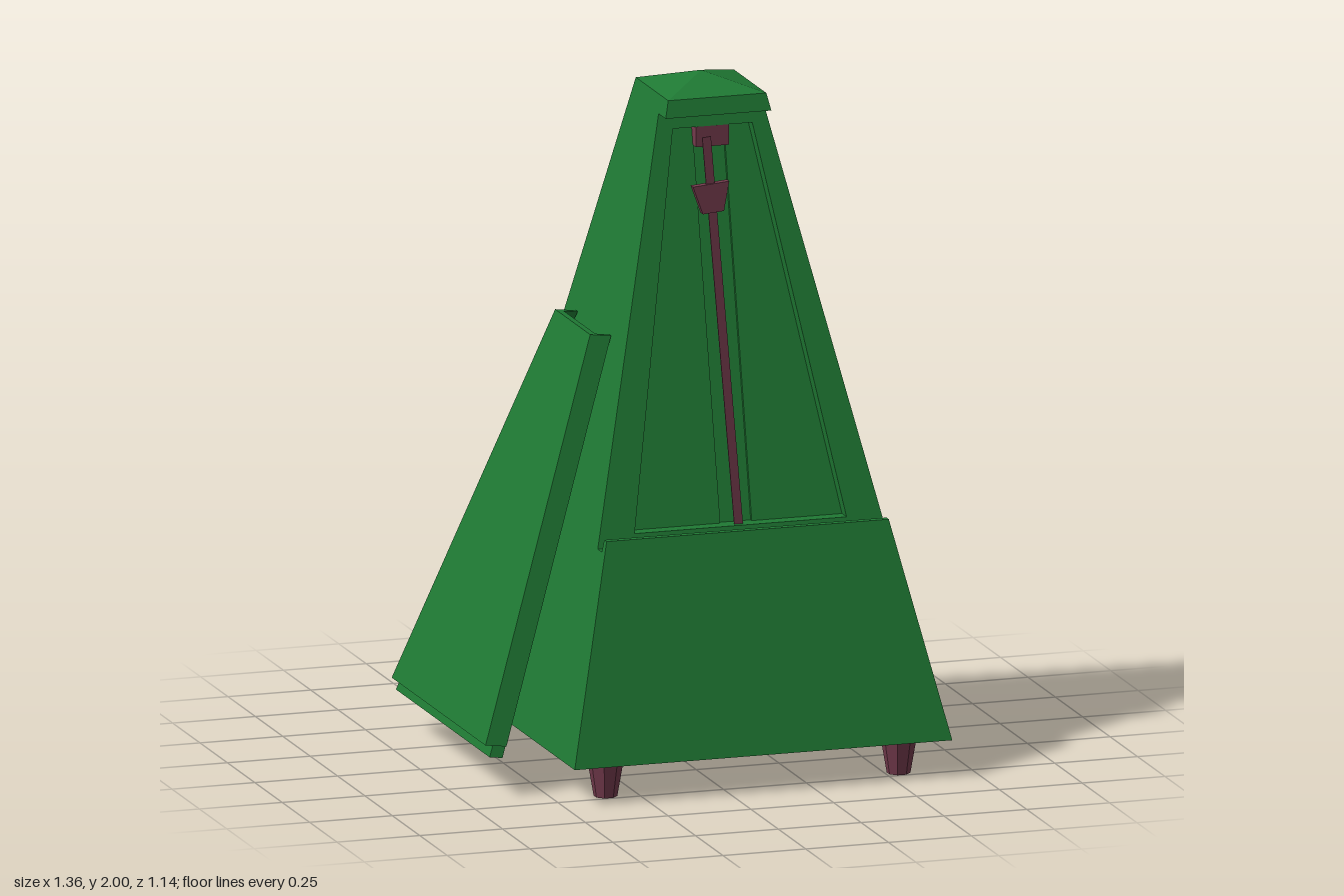
import * as THREE from 'three';

const green = new THREE.MeshStandardMaterial({ color: 0x1f7a34, flatShading: true });
const maroon = new THREE.MeshStandardMaterial({ color: 0x733a4c });
const maroonFlat = new THREE.MeshStandardMaterial({ color: 0x733a4c, flatShading: true });

const CX = 0.0975;                 // axis of the pyramid case
const SLOPE = 0.2287;              // inward lean of every wall per unit of height
const half = y => 0.57 - SLOPE * (y - 0.11);

// Solid between two matching [x, z] outlines at heights y0 and y1; shear tilts the ends along x
function loft(lower, y0, upper, y1, shear = 0) {
  const flat = lower.map(([x, z]) => new THREE.Vector2(x, z));
  if (THREE.ShapeUtils.isClockWise(flat)) {
    flat.reverse();
    lower = [...lower].reverse();
    upper = [...upper].reverse();
  }
  const pos = [], n = lower.length;
  const lo = i => [lower[i][0], y0 + shear * lower[i][0], lower[i][1]];
  const hi = i => [upper[i][0], y1 + shear * upper[i][0], upper[i][1]];
  const tri = (...pts) => pts.forEach(p => pos.push(...p));
  for (let i = 0; i < n; i++) {
    const j = (i + 1) % n;
    tri(lo(i), hi(j), lo(j));
    tri(lo(i), hi(i), hi(j));
  }
  for (const [a, b, c] of THREE.ShapeUtils.triangulateShape(flat, [])) {
    tri(lo(a), lo(b), lo(c));
    tri(hi(a), hi(c), hi(b));
  }
  const g = new THREE.BufferGeometry();
  g.setAttribute('position', new THREE.Float32BufferAttribute(pos, 3));
  g.computeVertexNormals();
  return g;
}

function add(parent, name, geometry, material, x = 0, y = 0, z = 0) {
  const m = new THREE.Mesh(geometry, material);
  m.name = name;
  m.position.set(x, y, z);
  parent.add(m);
  return m;
}

const rect = (x0, x1, z0, z1) => [[x0, z0], [x1, z0], [x1, z1], [x0, z1]];
const square = h => rect(-h, h, -h, h);

function buildCase() {
  const g = new THREE.Group();
  g.name = 'case';
  g.position.x = CX;
  const FRONT = 0.065, DEPTH = 0.042;   // set-back of the front face, depth of its niche
  const plain = y => rect(-half(y), half(y), -half(y), half(y) - FRONT);
  // Outline with the niche and the shallow groove down its back
  const niche = y => {
    const h = half(y), f = h - FRONT, b = f - DEPTH;
    const w = 0.32 - 0.1786 * (y - 0.74), s = 0.0475, e = b - 0.01;
    return [[-h, -h], [h, -h], [h, f], [w, f], [w, b], [s, b], [s, e],
      [-s, e], [-s, b], [-w, b], [-w, f], [-h, f]];
  };
  const stage = (name, fn, y0, y1) => add(g, name, loft(fn(y0), y0, fn(y1), y1), green);
  stage('lowerCase', y => square(half(y)), 0.11, 0.705);
  stage('nicheSill', plain, 0.705, 0.74);
  stage('nicheCase', niche, 0.74, 1.86);
  stage('nicheHead', plain, 1.86, 1.905);
  stage('frontLip', y => rect(-half(y), half(y), 0.405, half(y)), 0.705, 0.74);
  stage('capBand', y => square(half(y)), 1.905, 1.955);
  add(g, 'capRoof', loft(square(0.148), 1.955, square(0.0005), 2), green);
  return g;
}

// Removed front cover, a shallow tray leaning on the side of the case
function buildCover() {
  const g = new THREE.Group();
  g.name = 'cover';
  g.position.set(-0.68, 0.155, -0.045);
  g.rotation.z = -0.347;
  const D = 0.062, P = 0.02, T = 0.016;
  const tray = w => [[0, -w], [D, -w], [D, T - w], [P, T - w], [P, w - T], [D, w - T], [D, w], [0, w]];
  add(g, 'coverTray', loft(tray(0.428), 0, tray(0.16), 1.19, SLOPE), green);
  const bar = w => rect(0.024, D, -w, w);
  add(g, 'coverTongue', loft(bar(0.428), -0.035, bar(0.42), 0.002, SLOPE), green);
  return g;
}

function buildPendulum() {
  const g = new THREE.Group();
  g.name = 'pendulum';
  g.position.set(0.097, 0.74, 0.343);
  g.rotation.z = 0.084;
  add(g, 'rod', new THREE.BoxGeometry(0.026, 1.154, 0.004), maroonFlat, 0, 0.577, 0);
  // Sliding weight, wider at the top
  const lower = rect(-0.032, 0.032, -0.014, 0.008), upper = rect(-0.055, 0.055, -0.014, 0.008);
  add(g, 'weight', loft(lower, 0.93, upper, 1.015), maroonFlat);
  return g;
}

function buildKey() {
  const g = new THREE.Group();
  g.name = 'windingKey';
  g.position.set(0.6, 0.405, -0.04);
  const flange = add(g, 'keyFlange', new THREE.TorusGeometry(0.037, 0.012, 10, 28), maroon, 0.002, 0.003, 0);
  flange.rotation.set(0, Math.PI / 2, 0);
  const shaft = add(g, 'keyShaft', new THREE.CylinderGeometry(0.014, 0.014, 0.1, 20), maroon, -0.005, 0, 0);
  const hub = add(g, 'keyHub', new THREE.CylinderGeometry(0.024, 0.024, 0.045, 20), maroon, 0.055, 0, 0);
  shaft.rotation.z = hub.rotation.z = Math.PI / 2;
  // D-shaped grip: a straight bar closed by a half ring below
  const arc = [];
  for (let i = 0; i <= 16; i++) {
    const a = Math.PI * i / 16;
    arc.push(new THREE.Vector3(0, -0.09 * Math.sin(a), 0.071 * Math.cos(a)));
  }
  const bow = new THREE.CatmullRomCurve3(arc);
  add(g, 'keyBow', new THREE.TubeGeometry(bow, 32, 0.016, 10), maroon, 0.06, -0.004, 0);
  const bar = add(g, 'keyBar', new THREE.CapsuleGeometry(0.016, 0.142, 5, 12), maroon, 0.06, -0.004, 0);
  bar.rotation.x = Math.PI / 2;
  return g;
}

export function createModel() {
  const model = new THREE.Group();
  model.name = 'metronome';
  model.add(buildCase(), buildCover(), buildPendulum(), buildKey());

  // Tapered faceted feet
  const foot = new THREE.CylinderGeometry(0.053, 0.034, 0.11, 8).rotateY(Math.PI / 8);
  for (const sx of [-1, 1]) for (const sz of [-1, 1])
    add(model, 'foot', foot, maroonFlat, CX + sx * 0.4425, 0.055, sz * 0.465);

  // Catch that holds the rod at the head of the niche
  add(model, 'rodCatch', new THREE.BoxGeometry(0.1, 0.06, 0.06), maroonFlat, CX, 1.83, 0.075);

  // Small pull knob on the side
  const profile = [[0, 0], [0.007, 0], [0.007, 0.035], [0.019, 0.037], [0.009, 0.049], [0.024, 0.061], [0.024, 0.066], [0, 0.067]];
  const knob = new THREE.LatheGeometry(profile.map(p => new THREE.Vector2(...p)), 20);
  add(model, 'pullKnob', knob, maroonFlat, 0.538, 0.66, -0.035).rotation.z = -Math.PI / 2;
  return model;
}
